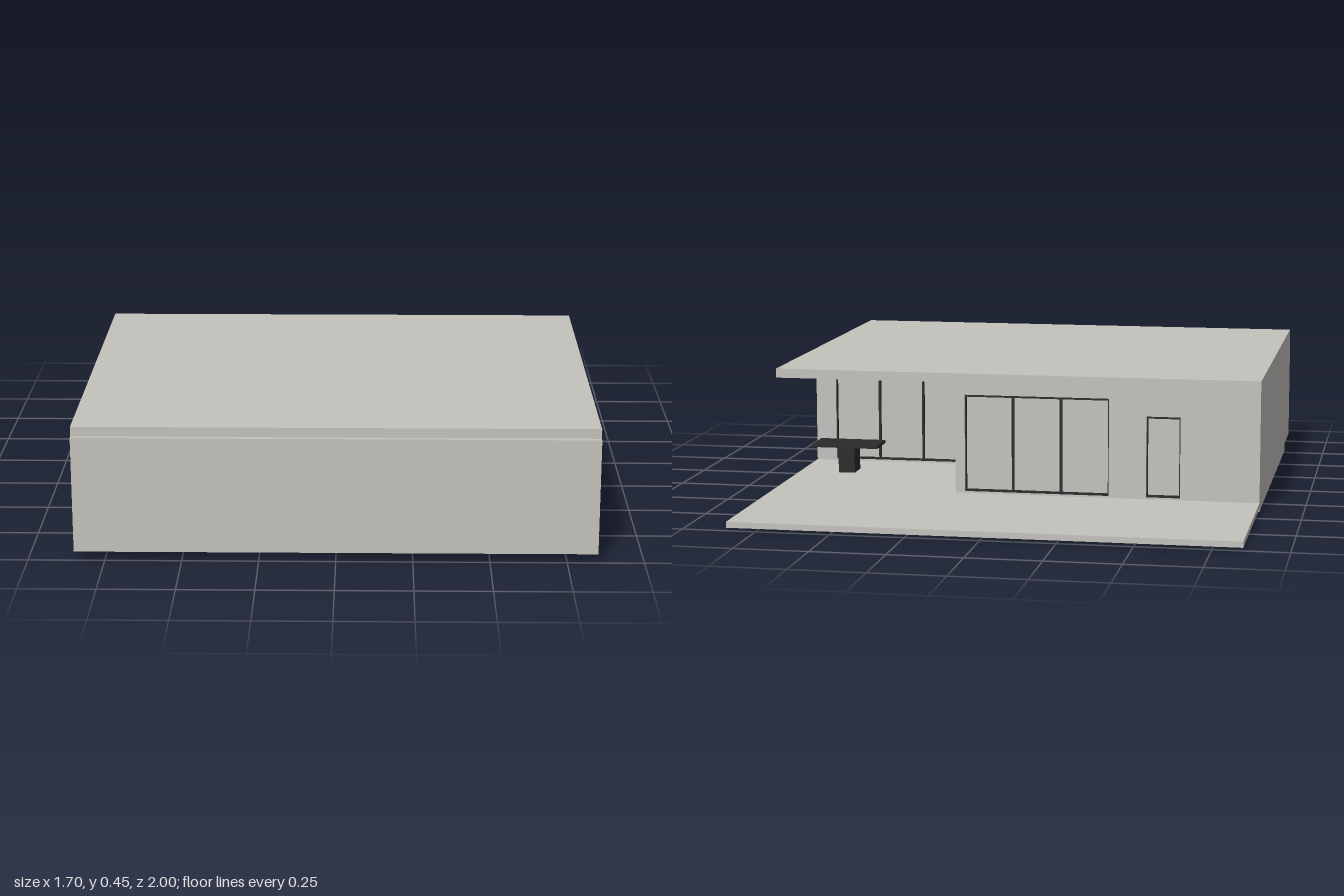
import * as THREE from 'three';

const concrete = new THREE.MeshStandardMaterial({ color: 0xc4c2bd });
concrete.name = 'warm grey concrete';
const dark = new THREE.MeshStandardMaterial({ color: 0x2a2a2a });
dark.name = 'dark metal';

const SKIN = 0.02; // depth of the window reveals
const FLOOR = 0.03, CEILING = 0.418;

// Box given by its min and max on each axis
function block(name, mat, [x0, x1], [y0, y1], [z0, z1]) {
  const mesh = new THREE.Mesh(new THREE.BoxGeometry(x1 - x0, y1 - y0, z1 - z0), mat);
  mesh.position.set((x0 + x1) / 2, (y0 + y1) / 2, (z0 + z1) / 2);
  mesh.name = name;
  return mesh;
}

function rectangle(Type, u0, u1, y0, y1) {
  const r = new Type();
  r.moveTo(u0, y0);
  r.lineTo(u1, y0);
  r.lineTo(u1, y1);
  r.lineTo(u0, y1);
  r.closePath();
  return r;
}

// Wall skin with framed openings; u runs along the wall, the outside faces local +z
function wall(name, angle, dist, u0, u1, openings) {
  const group = new THREE.Group();
  group.name = name;
  group.rotation.y = angle;
  const shape = rectangle(THREE.Shape, u0, u1, FLOOR, CEILING);
  for (const o of openings) shape.holes.push(rectangle(THREE.Path, o.u[0], o.u[1], o.y[0], o.y[1]));
  const skin = new THREE.Mesh(new THREE.ExtrudeGeometry(shape, { depth: SKIN, bevelEnabled: false }), concrete);
  skin.name = name + 'Skin';
  skin.position.z = dist - SKIN;
  group.add(skin);

  const depth = [dist - SKIN, dist - 0.008];
  for (const { u, y, panels } of openings) {
    // Head and sill rails
    group.add(block('headRail', dark, u, [y[1] - 0.008, y[1]], depth));
    group.add(block('sillRail', dark, u, [y[0], y[0] + 0.007], depth));
    // Jambs and mullions
    for (let i = 0; i <= panels; i++) {
      const w = i === 0 || i === panels ? 0.004 : 0.008;
      let c = u[0] + (u[1] - u[0]) * i / panels;
      if (i === 0) c += w / 2;
      if (i === panels) c -= w / 2;
      group.add(block('mullion', dark, [c - w / 2, c + w / 2], y, depth));
    }
  }
  return group;
}

export function createModel() {
  const house = new THREE.Group();
  house.name = 'house';

  // Ground slabs and roof
  house.add(block('foundation', concrete, [-0.85, 0.85], [0, FLOOR], [-0.39, 0.785]));
  house.add(block('patio', concrete, [-0.85, 0.85], [0.01, FLOOR], [-1, -0.39]));
  house.add(block('roof', concrete, [-0.85, 0.85], [CEILING, 0.45], [-0.39, 0.983]));

  // Solid L-shaped core behind the wall skins
  const notch = 0.208, recess = 0.14;
  house.add(block('frontCore', concrete, [-0.85, 0.85 - SKIN], [FLOOR, CEILING], [recess + SKIN, 1]));
  house.add(block('backCore', concrete, [-0.85, notch - SKIN], [FLOOR, CEILING], [-0.39 + SKIN, recess + SKIN]));

  // Outer walls and the two walls of the covered corner
  const door = [0.035, 0.376];
  house.add(wall('leftWall', Math.PI / 2, 0.85, -1, -recess,
    [{ u: [-0.285, -0.178], y: [0.15, 0.328], panels: 1 }]));
  house.add(wall('terraceSideWall', Math.PI / 2, notch, -recess, 0.39,
    [{ u: [-0.098, 0.352], y: door, panels: 3 }]));
  house.add(wall('terraceBackWall', Math.PI, -recess, -0.85, -notch,
    [{ u: [-0.776, -0.28], y: door, panels: 3 }]));
  house.add(wall('backWall', Math.PI, 0.39, -notch, 0.85, [
    { u: [-0.175, 0.33], y: door, panels: 3 },
    { u: [0.46, 0.577], y: [0.035, 0.318], panels: 1 },
  ]));

  // Table under the roof of the covered corner
  const table = new THREE.Group();
  table.name = 'table';
  table.add(block('tableTop', dark, [0.555, 0.798], [0.125, 0.135], [-0.125, 0.008]));
  table.add(block('tableBase', dark, [0.645, 0.705], [FLOOR, 0.125], [-0.1, -0.02]));
  house.add(table);

  return house;
}
